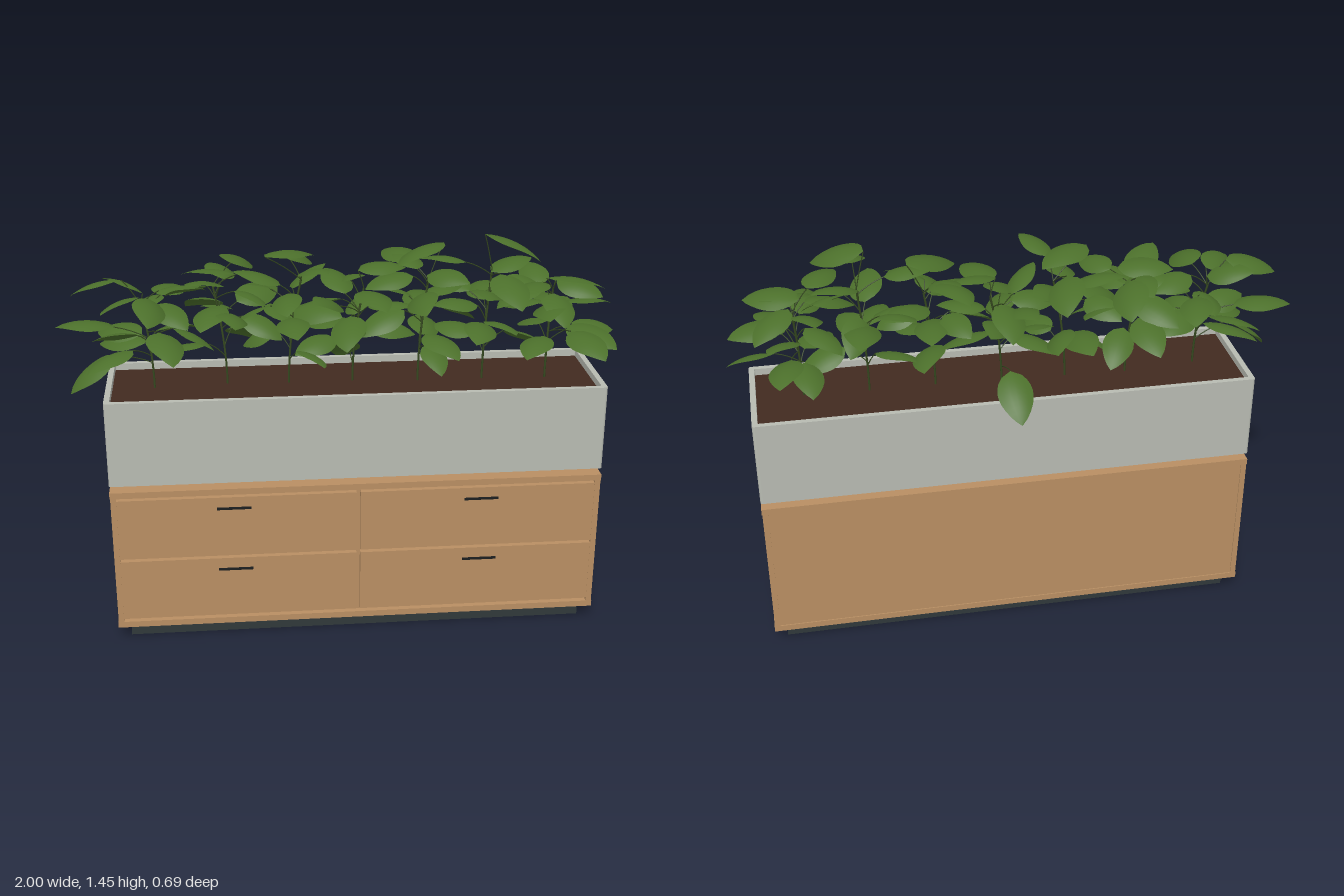
import * as THREE from 'three';
import { mergeGeometries } from 'three/addons/utils/BufferGeometryUtils.js';

const mat = (name, color, side = THREE.FrontSide) => {
  const m = new THREE.MeshStandardMaterial({ color, side });
  m.name = name;
  return m;
};

// Small seeded generator for the foliage
function seeded(seed) {
  return () => {
    seed = (seed * 16807) % 2147483647;
    return seed / 2147483647;
  };
}

// Oval pointed leaf along +x, unit length, arched along and across
function leafGeometry() {
  const g = new THREE.PlaneGeometry(1, 2, 10, 6);
  const p = g.attributes.position;
  for (let i = 0; i < p.count; i++) {
    const t = p.getX(i) + 0.5, s = p.getY(i);
    const half = 0.3 * Math.pow(Math.sin(Math.PI * Math.pow(t, 0.8)), 0.75) || 0;
    const w = s * half;
    p.setXYZ(i, t, 0.4 * t - 0.4 * t * t - 0.9 * w * w, -w);
  }
  g.computeVertexNormals();
  return g;
}

// Stem base x, z and crown height of each plant in the row
const PLANTS = [
  [-0.66, -0.01, 1.25], [-0.4, -0.03, 1.31], [-0.18, -0.02, 1.32], [0.05, -0.02, 1.28],
  [0.285, 0.0, 1.31], [0.52, 0.0, 1.34], [0.75, 0.01, 1.27],
];

// Tips of the large outer leaves of each plant
const OUTER_TIPS = [
  [[-1, 1.13, -0.05], [-0.95, 0.92, 0.06], [-0.94, 1.25, -0.02], [-0.57, 1.2, -0.29],
    [-0.58, 1.1, 0.31], [-0.66, 1.22, 0.26], [-0.86, 1.08, -0.14], [-0.88, 1.02, 0.15]],
  [[-0.45, 1.1, -0.3], [-0.33, 1.27, -0.345], [-0.37, 1.2, 0.24], [-0.55, 1.31, -0.06]],
  [[-0.12, 1.29, -0.31], [-0.22, 1.12, -0.28], [-0.16, 1.15, 0.22], [-0.08, 1.36, -0.08]],
  [[0.03, 0.89, -0.31], [0, 1.13, 0.3], [0.14, 1.25, 0.25], [0.06, 1.2, -0.3]],
  [[0.19, 1.33, -0.25], [0.4, 1.05, 0.2], [0.2, 1.35, 0.05], [0.32, 1.18, -0.22]],
  [[0.58, 1.27, 0.34], [0.56, 1.2, -0.25], [0.69, 1.37, 0.1], [0.45, 1.12, 0.24]],
  [[0.88, 1.08, 0.33], [0.99, 1.17, -0.03], [0.83, 1.12, -0.32], [0.95, 1.08, 0.22],
    [0.93, 1.26, 0.08], [0.7, 1.2, 0.25], [0.9, 1.2, -0.16]],
];

export function createModel() {
  const wood = mat('oak wood', 0xb98f63);
  const stone = mat('grey planter', 0xb8bbb2);
  const soilMat = mat('soil', 0x422a20);
  const dark = mat('dark metal', 0x30383a);
  const black = mat('black pulls', 0x1b1d1e);
  const leafMat = mat('leaf green', 0x4c702b, THREE.DoubleSide);
  const stemMat = mat('stem green', 0x35491f);

  const root = new THREE.Group();
  root.name = 'planterCabinet';
  const CX = 0.053, CZ = -0.01;

  const add = (name, geo, material, parent = root) => {
    const m = new THREE.Mesh(geo, material);
    m.name = name;
    parent.add(m);
    return m;
  };
  // Box given by its limits
  const box = (name, material, x0, x1, y0, y1, z0, z1, parent) => {
    const m = add(name, new THREE.BoxGeometry(x1 - x0, y1 - y0, z1 - z0), material, parent);
    m.position.set((x0 + x1) / 2, (y0 + y1) / 2, (z0 + z1) / 2);
    return m;
  };

  // Cabinet carcass on a recessed plinth
  const X0 = -0.83, X1 = 0.936, Z0 = -0.22, Z1 = 0.2;
  const cabinet = new THREE.Group();
  cabinet.name = 'cabinet';
  root.add(cabinet);
  box('plinth', dark, -0.785, 0.891, 0, 0.05, -0.185, 0.168, cabinet);
  box('bottomBoard', wood, X0, X1, 0.05, 0.073, Z0, Z1, cabinet);
  box('topBoard', wood, X0, X1, 0.572, 0.595, Z0, Z1, cabinet);
  box('rightSide', wood, X0 + 0.002, X0 + 0.022, 0.073, 0.572, Z0, Z1, cabinet);
  box('leftSide', wood, X1 - 0.022, X1 - 0.002, 0.073, 0.572, Z0, Z1, cabinet);
  box('innerBody', wood, X0 + 0.022, X1 - 0.022, 0.073, 0.572, Z0 + 0.004, Z1 - 0.022, cabinet);

  // Drawers with slim pulls
  for (const [x0, x1] of [[X0 + 0.022, CX - 0.007], [CX + 0.007, X1 - 0.022]]) {
    for (const [y0, y1, hy] of [[0.085, 0.319, 0.275], [0.33, 0.562, 0.519]]) {
      box('drawerFront', wood, x0, x1, y0, y1, Z1 - 0.022, Z1 - 0.001, cabinet);
      const hx = (x0 + x1) / 2 + 0.012 * Math.sign(x0 + x1);
      box('drawerPull', black, hx - 0.062, hx + 0.062, hy - 0.004, hy + 0.004, Z1 - 0.002, Z1 + 0.004, cabinet);
    }
  }

  // Short tapered feet under the planter
  for (const x of [-0.666, 0.77]) {
    for (const z of [0.124, -0.14]) {
      add('planterFoot', new THREE.CylinderGeometry(0.015, 0.018, 0.03, 16), dark)
        .position.set(x, 0.609, z);
    }
  }

  // Planter trough: rounded rectangular ring, floor and soil
  const roundRect = (target, w, d, r) => {
    const corners = [[1, 1, 0], [-1, 1, 1], [-1, -1, 2], [1, -1, 3]];
    for (const [sx, sy, q] of corners) {
      target.absarc(sx * (w / 2 - r), sy * (d / 2 - r), r, q * Math.PI / 2, (q + 1) * Math.PI / 2);
    }
    target.closePath();
    return target;
  };
  const W = X1 - X0, D = Z1 - Z0;
  const outline = roundRect(new THREE.Shape(), W, D, 0.01);
  outline.holes.push(roundRect(new THREE.Path(), W - 0.04, D - 0.04, 0.004));
  const walls = add('planterWalls', new THREE.ExtrudeGeometry(outline,
    { depth: 0.313, bevelEnabled: false, curveSegments: 5 }), stone);
  walls.rotation.x = -Math.PI / 2;
  walls.position.set(CX, 0.62, CZ);
  box('planterFloor', stone, X0 + 0.015, X1 - 0.015, 0.622, 0.64, Z0 + 0.015, Z1 - 0.015);
  box('soil', soilMat, X0 + 0.018, X1 - 0.018, 0.64, 0.908, Z0 + 0.018, Z1 - 0.018);

  // Plants: stem, outer leaves by tip, inner leaves in a spiral
  const leafGeo = leafGeometry();
  const INNER = 10;
  PLANTS.forEach(([px, pz, top], n) => {
    const rnd = seeded(4111 + n * 977);
    for (let i = 0; i < 5; i++) rnd();
    const plant = new THREE.Group();
    plant.name = 'plant';
    root.add(plant);

    // Gently leaning stem
    const stem = new THREE.QuadraticBezierCurve3(
      new THREE.Vector3(px, 0.9, pz),
      new THREE.Vector3(px, 1.08, pz),
      new THREE.Vector3(px + (rnd() - 0.5) * 0.1, top - 0.03, pz + (rnd() - 0.5) * 0.06));
    const stalks = [new THREE.TubeGeometry(stem, 8, 0.004, 6)];
    const leaves = [];
    const dummy = new THREE.Object3D();
    dummy.rotation.order = 'YZX';

    // Leaf ending at a given tip, joined to the stem by a thin stalk
    const addLeaf = (tip, length, pitch, roll) => {
      const az = Math.atan2(pz - tip.z, tip.x - px);
      const dir = new THREE.Vector3(
        Math.cos(az) * Math.cos(pitch), Math.sin(pitch), -Math.sin(az) * Math.cos(pitch));
      const base = tip.clone().addScaledVector(dir, -length);
      dummy.position.copy(base);
      dummy.rotation.set(roll, az, pitch);
      dummy.scale.setScalar(length);
      dummy.updateMatrix();
      leaves.push(leafGeo.clone().applyMatrix4(dummy.matrix));

      const u = THREE.MathUtils.clamp((base.y - 0.95) / (top - 0.93), 0.1, 1);
      const start = stem.getPoint(u);
      const mid = start.clone().lerp(base, 0.5);
      mid.y += 0.012;
      stalks.push(new THREE.TubeGeometry(
        new THREE.QuadraticBezierCurve3(start, mid, base), 4, 0.002, 5));
    };

    for (const t of OUTER_TIPS[n]) {
      const pitch = t[1] < 0.95 ? -0.65 : -0.15 + (rnd() - 0.5) * 0.4;
      addLeaf(new THREE.Vector3(...t), 0.19 + rnd() * 0.03, pitch, (rnd() - 0.5) * 0.8);
    }
    for (let i = 0; i < INNER; i++) {
      const f = i / (INNER - 1);
      const az = n * 1.3 + i * 2.4 + (rnd() - 0.5) * 0.6;
      const reach = 0.19 + rnd() * 0.07;
      const tip = new THREE.Vector3(
        px + Math.cos(az) * reach, 1.0 + (top - 0.99) * f + rnd() * 0.05, pz - Math.sin(az) * reach);
      addLeaf(tip, Math.min(0.16 + rnd() * 0.05, reach * 0.9),
        -0.25 + 0.3 * f + (rnd() - 0.5) * 0.6, (rnd() - 0.5) * 1.0);
    }
    add('stems', mergeGeometries(stalks), stemMat, plant);
    add('leaves', mergeGeometries(leaves), leafMat, plant);
  });

  return root;
}
